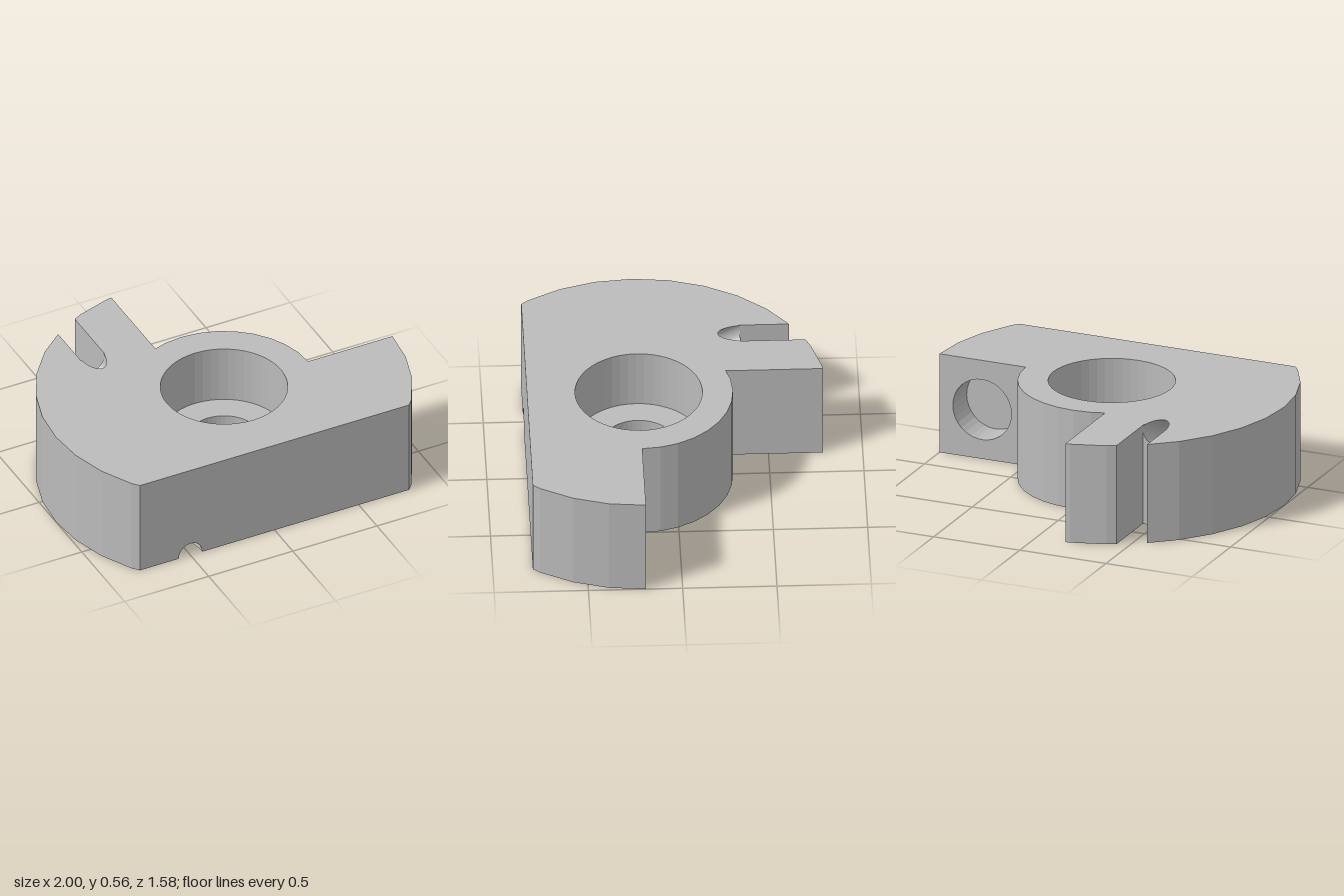
import * as THREE from 'three';

const H = 0.556;              // block height
const F = 0.787;              // front face z
const C = 0.195;              // z of the bore axis
const S = -0.365;             // z of the slot end
const SLOT_X = -0.5, SLOT_R = 0.07;
const SLOPE = 0.4645;         // rise of the slanted drill hole towards the back
const BORE_R = 0.19, RECESS_R = 0.338, RECESS_Y = 0.226;
const HOLE = { x: 0.753, y: 0.278, r: 0.17, depth: 0.18 };

const steel = new THREE.MeshStandardMaterial({ color: 0xbbbbbb, side: THREE.DoubleSide, flatShading: true });
steel.name = 'plain grey';

// points of a 32-sided circle about the bore axis, from step k0 to k1
function arc(r, k0, k1) {
  const pts = [];
  for (let k = k0; k <= k1; k++) {
    const a = k * Math.PI / 16;
    pts.push([r * Math.cos(a), C - r * Math.sin(a)]);
  }
  return pts;
}

function circle(x, y, r, n = 48) {
  const pts = [];
  for (let i = 0; i < n; i++) {
    const a = i / n * Math.PI * 2;
    pts.push(new THREE.Vector2(x + r * Math.sin(a), y + r * Math.cos(a)));
  }
  return new THREE.Path(pts);
}

// ruled surface between two equally long rows of points
function strip(a, b) {
  const pos = [];
  for (let i = 0; i < a.length - 1; i++) {
    pos.push(...a[i], ...a[i + 1], ...b[i], ...a[i + 1], ...b[i + 1], ...b[i]);
  }
  const g = new THREE.BufferGeometry();
  g.setAttribute('position', new THREE.Float32BufferAttribute(pos, 3));
  return g;
}

const wall = (line) => strip(line.map(([x, z]) => [x, 0, z]), line.map(([x, z]) => [x, H, z]));

// flat face from 2D points with optional holes
function face(pts, ...holes) {
  const shape = new THREE.Shape(pts.map(([x, y]) => new THREE.Vector2(x, y)));
  shape.holes.push(...holes);
  return new THREE.ShapeGeometry(shape);
}

export function createModel() {
  const group = new THREE.Group();
  group.name = 'machinedBlock';
  const add = (name, geometry) => {
    const g = geometry.index ? geometry.toNonIndexed() : geometry;
    g.computeVertexNormals();
    const mesh = new THREE.Mesh(g, steel);
    mesh.name = name;
    group.add(mesh);
  };

  // outline seen from above, counterclockwise from the front right corner
  const right = [[0.8, F], ...arc(1, -3, 0)];
  const middle = [
    ...arc(0.5, 0, 9), [-0.17, C - 0.468], [-0.17, C - 0.983],
    ...arc(1, 9, 10), [-0.43, C - 0.899], [-0.43, S],
  ];
  const left = [[-0.57, S], [-0.57, C - 0.8195], ...arc(1, 12, 19), [-0.8, F]];

  // slanted drill hole, clipped by the slot, top, front and bottom
  const N = 48, rise = SLOT_R * Math.sqrt(1 + SLOPE * SLOPE);
  const backRim = [], frontRim = [];
  for (let i = 0; i <= N; i++) {
    const a = i / N * Math.PI * 2;
    const x = SLOT_X + SLOT_R * Math.cos(a), v = rise * Math.sin(a);
    const z0 = Math.max(S, F - (H - v) / SLOPE);
    const z1 = Math.min(F, F + v / SLOPE);
    backRim.push([x, SLOPE * (F - z0) + v, z0]);
    frontRim.push([x, SLOPE * (F - z1) + v, z1]);
  }
  add('slantedHole', strip(frontRim, backRim));

  // outer walls
  add('rightWall', wall(right));
  add('hubAndArmWall', wall(middle));
  add('leftWall', wall(left));

  // front wall with the hole's mouth at its lower edge
  const mouth = frontRim.slice(0, N / 2 + 1).reverse().map(([x, y]) => [x, y]);
  add('frontWall', face([[-0.8, 0], ...mouth, [0.8, 0], [0.8, H], [-0.8, H]]).translate(0, 0, F));

  // slot end wall below the slanted hole
  const cut = backRim.slice(N / 2).reverse().map(([x, y]) => [x, y]);
  add('slotEnd', face([[-0.57, 0], [-0.43, 0], ...cut]).translate(0, 0, S));

  // top and bottom faces, notched where the slanted hole breaks through
  const topNotch = backRim.filter((p) => p[2] > S + 1e-4).map(([x, , z]) => [x, z]);
  const bottomNotch = frontRim.slice(N / 2).map(([x, , z]) => [x, z]);
  const top = [...right, ...middle, ...topNotch, ...left].map(([x, z]) => [x, -z]);
  add('topFace', face(top, circle(0, -C, RECESS_R)).rotateX(-Math.PI / 2).translate(0, H, 0));
  add('bottomFace', face([...right, ...middle, ...left, ...bottomNotch], circle(0, C, BORE_R)).rotateX(Math.PI / 2));

  // stepped centre bore
  const profile = [[RECESS_R, H], [RECESS_R, RECESS_Y], [BORE_R, RECESS_Y], [BORE_R, 0]];
  add('centreBore', new THREE.LatheGeometry(profile.map((p) => new THREE.Vector2(...p)), 48).translate(0, 0, C));

  // step wall with a blind round hole
  add('stepWall', face([[-1, 0], [-0.5, 0], [-0.5, H], [-1, H]], circle(-HOLE.x, HOLE.y, HOLE.r, 32))
    .rotateY(Math.PI).translate(0, 0, C));
  add('blindHoleWall', new THREE.CylinderGeometry(HOLE.r, HOLE.r, HOLE.depth, 32, 1, true)
    .rotateX(Math.PI / 2).translate(HOLE.x, HOLE.y, C + HOLE.depth / 2));
  add('blindHoleFloor', new THREE.CircleGeometry(HOLE.r, 32)
    .rotateY(Math.PI).translate(HOLE.x, HOLE.y, C + HOLE.depth));

  return group;
}
